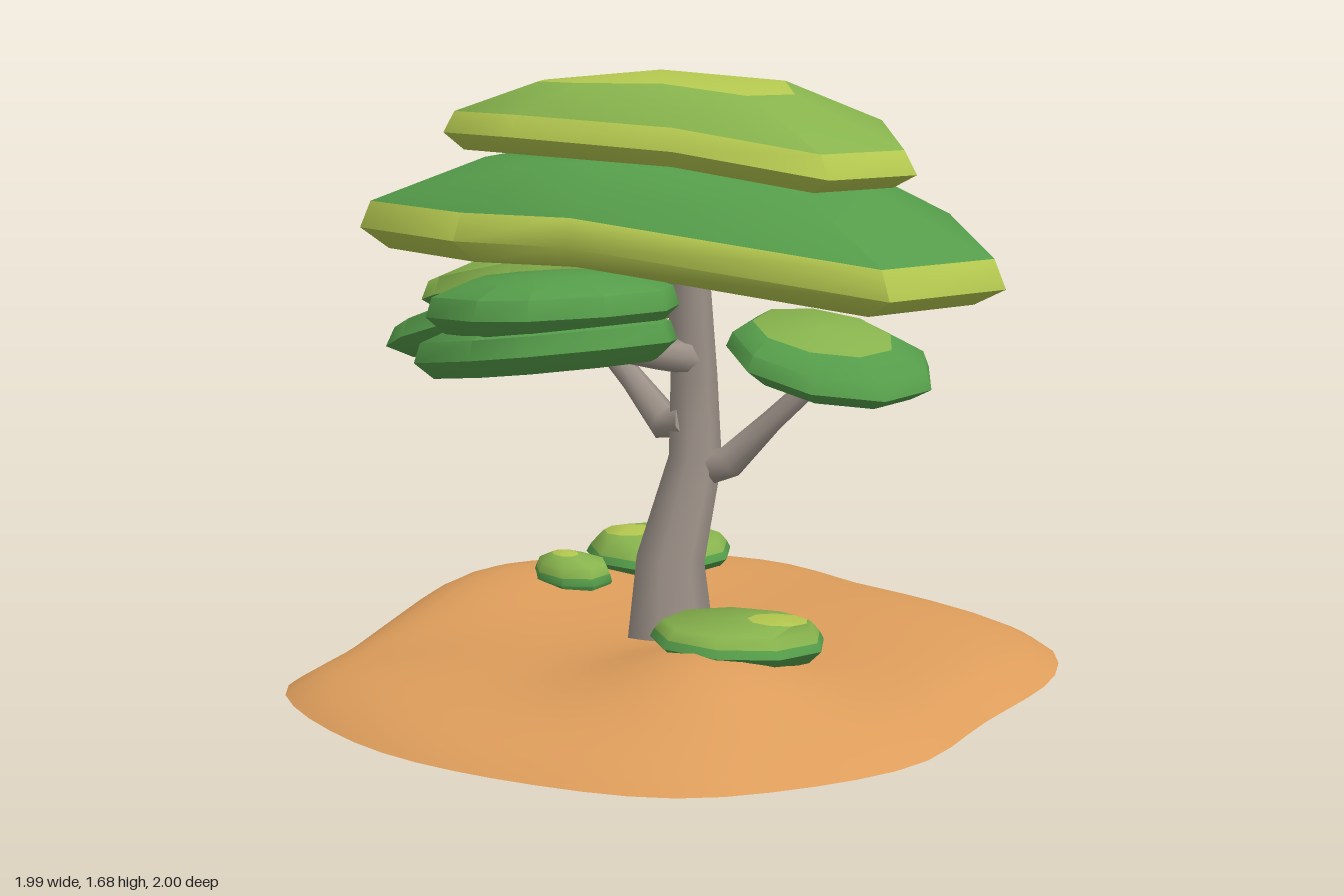
import * as THREE from 'three';
import { toCreasedNormals } from 'three/addons/utils/BufferGeometryUtils.js';

const mat = (name, color) => {
  const m = new THREE.MeshStandardMaterial({ color });
  m.name = name;
  return m;
};
const V = (x, y, z) => new THREE.Vector3(x, y, z);

// Skins closed rings from bottom to top; bands[k] is the material index between rings k and k+1
function loft(rings, bands, crease) {
  const pos = [], geo = new THREE.BufferGeometry();
  const tri = (a, b, c) => {
    const area = b.clone().sub(a).cross(c.clone().sub(a)).length();
    if (area > 1e-7) for (const p of [a, b, c]) pos.push(p.x, p.y, p.z);
  };
  for (let k = 0; k < rings.length - 1; k++) {
    const start = pos.length / 3, lo = rings[k], hi = rings[k + 1], n = lo.length;
    for (let i = 0; i < n; i++) {
      const j = (i + 1) % n;
      tri(lo[i], hi[i], lo[j]);
      tri(lo[j], hi[i], hi[j]);
    }
    geo.addGroup(start, pos.length / 3 - start, bands[k] ?? 0);
  }
  geo.setAttribute('position', new THREE.Float32BufferAttribute(pos, 3));
  return toCreasedNormals(geo, crease);
}

// Tapered limb through points [x, y, z, radius], closed at both ends
function limb(points, sides) {
  const ps = points.map(p => V(p[0], p[1], p[2]));
  const rings = ps.map((p, k) => {
    const d = ps[Math.min(k + 1, ps.length - 1)].clone().sub(ps[Math.max(k - 1, 0)]).normalize();
    const u = d.clone().cross(V(0, 0, 1)).normalize(), v = u.clone().cross(d);
    return Array.from({ length: sides }, (_, i) => {
      const a = (i / sides) * Math.PI * 2, r = points[k][3];
      return p.clone().addScaledVector(u, Math.cos(a) * r).addScaledVector(v, Math.sin(a) * r);
    });
  });
  const end = p => Array.from({ length: sides }, () => p.clone());
  return loft([end(ps[0]), ...rings, end(ps[ps.length - 1])], [], 1.1);
}

const oval = (cx, cz, rx, rz, n = 9, turn = 0.2) => Array.from({ length: n }, (_, i) => {
  const a = (i / n) * Math.PI * 2 + turn;
  return [cx + Math.cos(a) * rx, cz + Math.sin(a) * rz];
});

// Foliage pad: outline scaled about its centre; layers are [scale, height, shiftX, shiftZ]
function pad(outline, [cx, cz], y, layers, bands, { tiltX = 0, tiltZ = 0, droop = 0 } = {}) {
  const rings = layers.map(([s, dy, sx = 0, sz = 0]) => outline.map(([px, pz]) => {
    const x = cx + sx + (px - cx) * s, z = cz + sz + (pz - cz) * s;
    return V(x, y + dy + tiltX * (x - cx) + tiltZ * (z - cz) - droop * Math.max(0, x - 0.22), z);
  }));
  return loft(rings, bands, 0.95);
}

export function createModel() {
  const tree = new THREE.Group();
  tree.name = 'savannaTree';
  const sand = mat('sand', 0xdd9d5b), bark = mat('bark', 0x9c9188);
  const leaves = [mat('deepGreen', 0x559c4a), mat('leafGreen', 0x87b34d), mat('limeGreen', 0xb3c74f)];
  sand.side = THREE.DoubleSide;
  const [DEEP, LEAF, LIME] = [0, 1, 2];
  const add = (name, geo, material) => {
    const m = new THREE.Mesh(geo, material);
    m.name = name;
    tree.add(m);
  };

  // Ground: open sheet with soft mounds and a rounded, slightly wavy rim
  const rim = new THREE.CatmullRomCurve3([
    [0.34, -1], [0.49, -0.99], [0.62, -0.91], [0.74, -0.75], [0.87, -0.37], [0.99, 0], [0.89, 0.45],
    [0.77, 0.63], [0.49, 0.83], [0.2, 0.96], [-0.02, 1], [-0.3, 0.99], [-0.47, 0.93], [-0.58, 0.82],
    [-0.8, 0.45], [-0.96, 0.19], [-1, 0], [-0.91, -0.32], [-0.8, -0.53], [-0.61, -0.78],
    [-0.47, -0.89], [-0.3, -0.93], [-0.14, -0.93],
  ].map(([x, z]) => V(x, 0, z)), true).getSpacedPoints(56).slice(0, 56);
  const bump = (x, z, cx, cz, w) => Math.exp(-((x - cx) ** 2 + (z - cz) ** 2) / (w * w));
  const groundY = (x, z, t) => 0.04
    + t ** 8 * (-0.04 * bump(x, z, -0.66, 0.72, 0.24) - 0.03 * bump(x, z, -0.9, -0.32, 0.2))
    + (1 - t ** 8) * (0.09 + 0.1 * bump(x, z, 0.45, 0.22, 0.28) + 0.05 * bump(x, z, -0.6, -0.46, 0.4)
      + 0.05 * bump(x, z, -0.74, 0.1, 0.32) + 0.03 * bump(x, z, 0.15, -0.65, 0.4)
      - 0.025 * bump(x, z, -0.45, 0.62, 0.22));
  const steps = [1, 0.985, 0.96, 0.93, 0.89, 0.84, 0.78, 0.7, 0.6, 0.5, 0.4, 0.3, 0.2, 0.1, 0];
  add('ground', loft(steps.map(t => rim.map(p => V(p.x * t, groundY(p.x * t, p.z * t, t), p.z * t))), [], 3), sand);

  // Trunk and branches
  add('trunk', limb([[0.015, 0.1, 0, 0.128], [0.015, 0.35, 0, 0.098], [0.01, 0.62, -0.09, 0.077],
    [0.01, 0.85, -0.085, 0.067], [0.01, 1.25, -0.06, 0.056]], 7), bark);
  add('leftFoliageBranch', limb([[0.02, 0.73, -0.06, 0.05], [-0.07, 0.71, -0.05, 0.05],
    [-0.2, 0.82, -0.03, 0.036], [-0.43, 0.99, 0, 0.028]], 7), bark);
  add('rightFoliageBranch', limb([[0.05, 0.6, -0.11, 0.05], [0.11, 0.62, -0.14, 0.046],
    [0.21, 0.74, -0.2, 0.032], [0.36, 0.92, -0.31, 0.026]], 7), bark);
  add('frontFoliageBranch', limb([[0.01, 0.9, -0.09, 0.052], [0.05, 0.925, 0.05, 0.042],
    [0.13, 0.99, 0.34, 0.028]], 7), bark);

  // Main crown: two broad pads drooping to one side
  const lower = [[0.87, -0.4], [0.87, -0.01], [0.26, 0.5], [0.03, 0.68], [-0.41, 0.7], [-0.62, 0.41],
    [-0.62, 0.03], [-0.31, -0.4], [0.02, -0.61], [0.47, -0.63]];
  add('lowerCrown', pad(lower, [0.08, 0.03], 1.27,
    [[0, -0.06], [0.62, -0.06, 0.04, 0.04], [0.91, -0.055], [1, 0], [0.965, 0.07], [0.6, 0.185], [0, 0.2]],
    [DEEP, LIME, LIME, LIME, DEEP, DEEP], { droop: 0.18 }), leaves);
  const upper = [[0.66, -0.29], [0.66, 0], [0.36, 0.25], [0.03, 0.51], [-0.26, 0.53], [-0.46, 0.36],
    [-0.46, 0.05], [-0.2, -0.27], [0.02, -0.455], [0.37, -0.475]];
  add('upperCrown', pad(upper, [0.05, 0.03], 1.52,
    [[0, -0.05], [0.6, -0.05], [0.91, -0.045], [1, 0], [0.95, 0.055], [0.55, 0.13, -0.03], [0, 0.16, -0.03]],
    [DEEP, LIME, LIME, LIME, LEAF, LIME], { droop: 0.21 }), leaves);

  // Side foliage: tilted left pair, front pair and single right pad
  const slab = [[0, -0.06], [0.85, -0.06], [1, -0.015], [0.95, 0.035], [0.62, 0.075], [0, 0.085]];
  const left = [[-0.25, -0.2], [-0.21, 0.1], [-0.3, 0.35], [-0.58, 0.49], [-0.7, 0.47], [-0.79, 0.2],
    [-0.79, 0], [-0.65, -0.29], [-0.48, -0.45], [-0.31, -0.41]];
  add('leftFoliageLower', pad(left, [-0.5, 0], 0.98,
    [[0, -0.06, -0.08], [0.5, -0.06, -0.08], ...slab.slice(1)],
    [DEEP, LEAF, DEEP, DEEP, DEEP, LEAF], { tiltX: 0.36 }), leaves);
  const leftTop = left.map(([x, z]) => [-0.5 + (x + 0.5) * 0.78, z * 0.8]);
  add('leftFoliageUpper', pad(leftTop, [-0.5, 0], 1.08, slab, [DEEP, DEEP, LEAF, LEAF, LIME], { tiltX: 0.26 }), leaves);

  const front = [[0.39, 0.28], [0.39, 0.46], [0.3, 0.64], [0.16, 0.72], [-0.09, 0.73], [-0.24, 0.59],
    [-0.28, 0.4], [-0.2, 0.22], [0.02, 0.13], [0.25, 0.15]];
  add('frontFoliageLower', pad(front, [0.06, 0.435], 0.99, slab,
    [DEEP, DEEP, DEEP, DEEP, DEEP], { tiltX: 0.15 }), leaves);
  const frontTop = front.map(([x, z]) => [0.1 + (x - 0.06) * 0.84, z]);
  add('frontFoliageUpper', pad(frontTop, [0.1, 0.435], 1.1, slab,
    [DEEP, DEEP, DEEP, DEEP, DEEP], { tiltX: 0.06 }), leaves);

  add('rightFoliage', pad(oval(0.34, -0.295, 0.28, 0.28), [0.34, -0.295], 0.92,
    [[0, -0.055], [0.8, -0.05], [1, -0.01], [0.94, 0.03], [0.68, 0.062, -0.03], [0, 0.075, -0.03]],
    [DEEP, DEEP, DEEP, DEEP, LEAF], { tiltX: -0.22 }), leaves);

  // Low bushes resting in the ground
  const bush = (px, pz) => [[0, -0.045], [0.85, -0.035], [1, 0], [0.95, 0.022],
    [0.85, 0.048], [0.34, 0.072, px, pz], [0, 0.08, px, pz]];
  const bushBands = [DEEP, DEEP, DEEP, LEAF, LEAF, LIME];
  add('rightBush', pad(oval(0.36, 0.03, 0.225, 0.24), [0.36, 0.03], 0.205, bush(0.1, -0.05),
    bushBands, { tiltX: 0.03, tiltZ: 0.08 }), leaves);
  add('leftBush', pad(oval(-0.54, -0.38, 0.22, 0.23), [-0.54, -0.38], 0.19, bush(-0.05, 0.08), bushBands), leaves);
  add('smallBush', pad(oval(-0.53, -0.05, 0.14, 0.11, 8), [-0.53, -0.05], 0.17, bush(-0.01, 0.02), bushBands), leaves);

  return tree;
}
